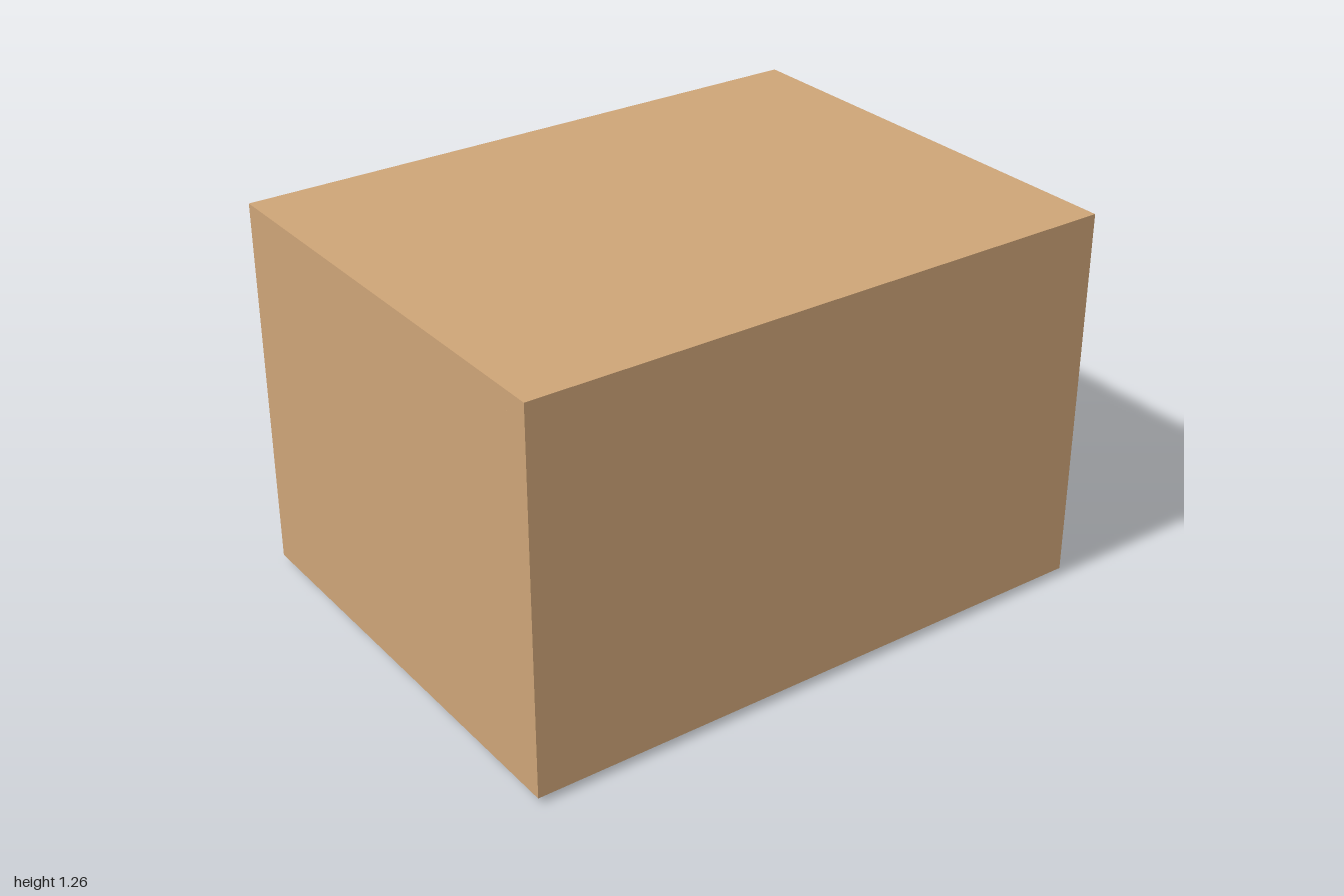
import * as THREE from 'three';

const mat = (color) => new THREE.MeshStandardMaterial({ color, flatShading: true });
const plaster = mat(0xcda477), olive = mat(0xa8a03d), darkWood = mat(0x5f4d2a);
const floorWood = mat(0x643e28), red = mat(0x7a3a2a), face = mat(0xb59a6a);

export function createModel() {
  const room = new THREE.Group();
  room.name = 'room';

  // Box given by its lower and upper corners
  const block = (name, material, [x0, y0, z0], [x1, y1, z1], parent = room) => {
    const mesh = new THREE.Mesh(new THREE.BoxGeometry(x1 - x0, y1 - y0, z1 - z0), material);
    mesh.position.set((x0 + x1) / 2, (y0 + y1) / 2, (z0 + z1) / 2);
    mesh.name = name;
    parent.add(mesh);
    return mesh;
  };
  const group = (name) => {
    const g = new THREE.Group();
    g.name = name;
    room.add(g);
    return g;
  };

  // Shell: base level, top, half depth, wall thickness
  const B = 0.02, T = 1.265, D = 0.768, W = 0.06;
  block('ceiling', plaster, [-1, T - W, -D], [1, T, D]);
  block('frontWall', plaster, [-1, B, D - W], [1, T - W, D]);
  block('backWall', plaster, [-1, B, -D], [1, T - W, -D + W]);
  block('rightWall', plaster, [-1, B, -D + W], [-1 + W, T - W, D - W]);
  block('floor', floorWood, [-1 + W, B, -D + W], [1 - W, B + 0.015, D - W]);

  // Left wall with the window opening; shape x runs along -z
  const wall = new THREE.Shape();
  wall.moveTo(-D + W, B).lineTo(D - W, B).lineTo(D - W, T - W).lineTo(-D + W, T - W).closePath();
  const opening = new THREE.Path();
  opening.moveTo(-0.445, 0.505).lineTo(-0.445, 1.077).lineTo(0.08, 1.077).lineTo(0.08, 0.505).closePath();
  wall.holes.push(opening);
  const windowWall = new THREE.Mesh(
    new THREE.ExtrudeGeometry(wall, { depth: W, bevelEnabled: false }), plaster);
  windowWall.rotation.y = Math.PI / 2;
  windowWall.position.x = 1 - W;
  windowWall.name = 'windowWall';
  room.add(windowWall);

  // Tall cabinet against the far side wall, with framed doors
  const cabinet = group('cabinet');
  block('cabinetBody', olive, [-0.94, 0.035, -0.42], [-0.7, 1.015, 0.13], cabinet);
  block('cabinetTop', olive, [-0.94, 1.015, -0.425], [-0.69, 1.022, 0.135], cabinet);
  for (const z of [-0.405, -0.14]) {
    block('cabinetDoor', olive, [-0.7, 0.08, z], [-0.688, 0.975, z + 0.26], cabinet);
  }

  // Tall case clock with a chamfered hood, facing the room
  const clock = group('tallClock');
  block('clockBase', darkWood, [0.59, 0.01, 0.49], [0.85, 0.28, 0.7], clock);
  block('clockTrunk', darkWood, [0.63, 0.28, 0.52], [0.81, 0.8, 0.7], clock);
  const hood = new THREE.Shape();
  hood.moveTo(-0.12, 0.8).lineTo(0.12, 0.8).lineTo(0.12, 1.03).lineTo(0.045, 1.12)
    .lineTo(-0.045, 1.12).lineTo(-0.12, 1.03).closePath();
  const hoodMesh = new THREE.Mesh(
    new THREE.ExtrudeGeometry(hood, { depth: 0.2, bevelEnabled: false }), darkWood);
  hoodMesh.position.set(0.72, 0, 0.5);
  hoodMesh.name = 'clockHood';
  clock.add(hoodMesh);
  const dial = new THREE.Mesh(new THREE.CylinderGeometry(0.075, 0.075, 0.01, 24), face);
  dial.rotation.x = Math.PI / 2;
  dial.position.set(0.72, 0.92, 0.496);
  dial.name = 'clockDial';
  clock.add(dial);
  block('clockDoor', darkWood, [0.66, 0.33, 0.51], [0.78, 0.76, 0.52], clock);

  // Standing panel beside the clock
  block('standingPanel', olive, [0.19, 0, 0.603], [0.505, 0.48, 0.637]);

  // Low table on thin legs
  const table = group('table');
  block('tableTop', darkWood, [-0.91, 0.3, 0.2], [-0.29, 0.33, 0.49], table);
  for (const x of [-0.88, -0.32]) {
    for (const z of [0.23, 0.46]) {
      block('tableLeg', darkWood, [x - 0.017, 0.016, z - 0.017], [x + 0.017, 0.3, z + 0.017], table);
    }
  }

  // Rug, wall box and its tall backing board near the back wall
  block('rug', red, [-0.45, 0.035, -0.69], [0.37, 0.06, -0.2]);
  block('backingBoard', darkWood, [0.34, 0.1, -0.708], [0.43, 1.0, -0.66]);
  block('wallBox', olive, [0.38, 0.1, -0.7], [0.46, 0.2, -0.62]);

  // Flush board set in the floor
  block('floorBoard', darkWood, [0.57, 0.019, -0.67], [0.68, 0.037, -0.36]);

  return room;
}
